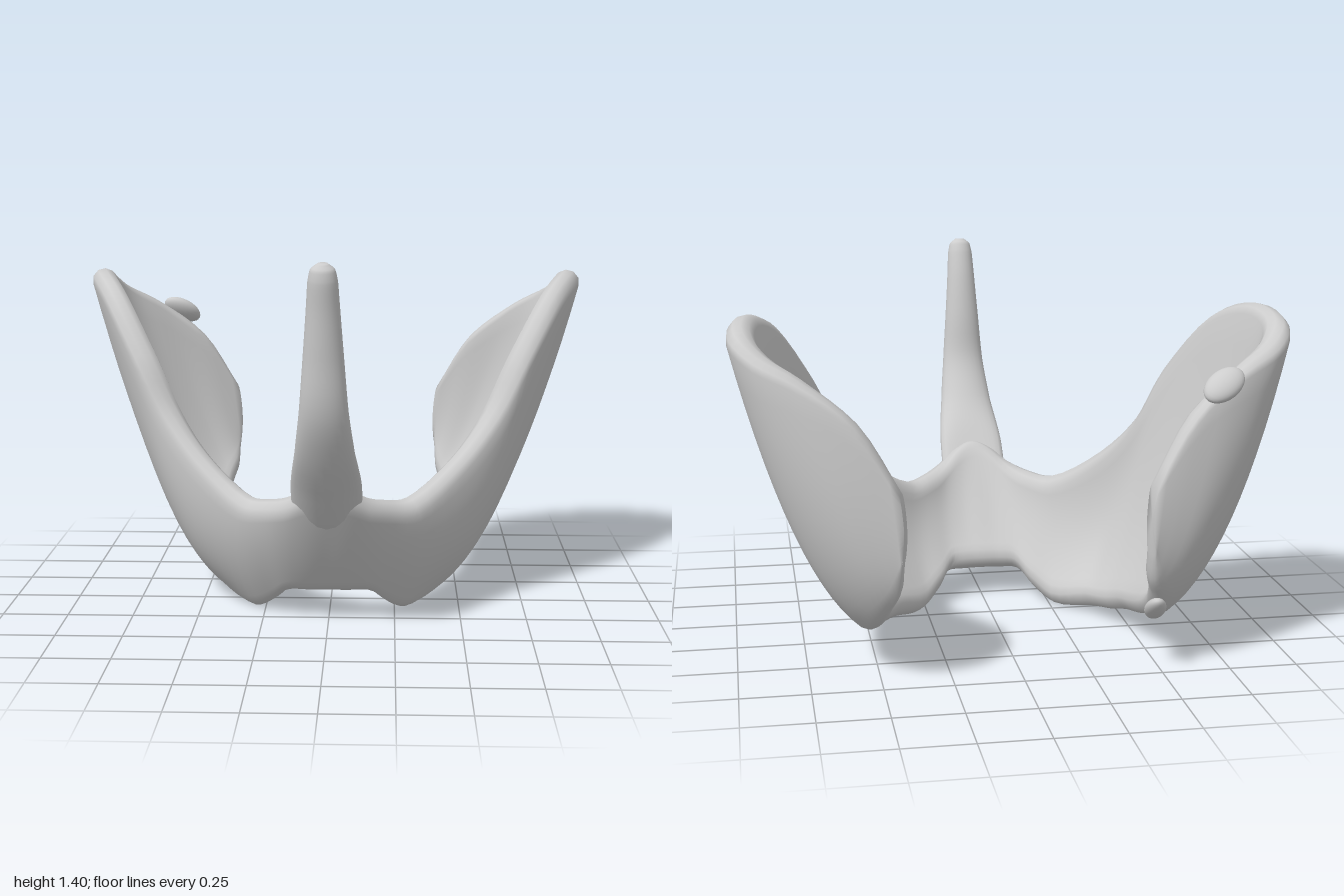
import * as THREE from 'three';

const V = (x, y, z) => new THREE.Vector3(x, y, z);

// Skin a list of closed rings, with a fan at each end
function loft(rings) {
  const n = rings[0].length, last = rings.length - 1;
  const pos = [], idx = [];
  rings.forEach(r => r.forEach(p => pos.push(p.x, p.y, p.z)));
  for (let i = 0; i < last; i++) {
    for (let j = 0; j < n; j++) {
      const k = (j + 1) % n;
      const a = i * n + j, b = a + n, c = (i + 1) * n + k, d = i * n + k;
      idx.push(a, b, c, a, c, d);
    }
  }
  [0, last].forEach(i => {
    const mid = V(0, 0, 0);
    rings[i].forEach(p => mid.addScaledVector(p, 1 / n));
    const m = pos.length / 3;
    pos.push(mid.x, mid.y, mid.z);
    for (let j = 0; j < n; j++) {
      const a = i * n + j, b = i * n + (j + 1) % n;
      if (i === 0) idx.push(m, a, b); else idx.push(m, b, a);
    }
  });
  const g = new THREE.BufferGeometry();
  g.setAttribute('position', new THREE.Float32BufferAttribute(pos, 3));
  g.setIndex(idx);
  g.computeVertexNormals();
  return g;
}

// Curved shell stations from the middle of the front to the back edge:
// bottom, middle and top of the sheet, then half its thickness
const stations = [
  [[0, 0.165, 0.245], [0, 0.335, 0.365], [0, 0.54, 0.49], 0.052],
  [[0.07, 0.164, 0.243], [0.07, 0.33, 0.36], [0.07, 0.515, 0.465], 0.052],
  [[0.14, 0.16, 0.23], [0.14, 0.32, 0.335], [0.14, 0.465, 0.41], 0.052],
  [[0.20, 0.105, 0.165], [0.22, 0.28, 0.27], [0.22, 0.435, 0.335], 0.052],
  [[0.28, 0.052, 0.085], [0.32, 0.24, 0.19], [0.31, 0.43, 0.265], 0.052],
  [[0.40, 0.08, -0.07], [0.48, 0.28, 0.07], [0.485, 0.56, 0.14], 0.05],
  [[0.45, 0.10, -0.17], [0.565, 0.36, -0.01], [0.61, 0.72, 0.05], 0.052],
  [[0.49, 0.13, -0.27], [0.635, 0.45, -0.11], [0.715, 0.93, -0.01], 0.052],
  [[0.51, 0.15, -0.37], [0.70, 0.53, -0.26], [0.85, 1.155, -0.165], 0.05],
  [[0.52, 0.175, -0.47], [0.735, 0.55, -0.44], [0.93, 1.22, -0.36], 0.05],
  [[0.525, 0.215, -0.58], [0.74, 0.55, -0.595], [0.945, 1.19, -0.55], 0.05],
  [[0.505, 0.27, -0.67], [0.69, 0.57, -0.69], [0.88, 1.13, -0.65], 0.047],
  [[0.48, 0.33, -0.73], [0.605, 0.59, -0.76], [0.75, 1.06, -0.72], 0.042],
  [[0.45, 0.40, -0.775], [0.515, 0.60, -0.79], [0.575, 0.92, -0.775], 0.038],
  [[0.43, 0.49, -0.815], [0.425, 0.59, -0.82], [0.435, 0.70, -0.815], 0.026],
];

function shellGeometry() {
  const end = stations.length - 1;
  const rail = k => new THREE.CatmullRomCurve3([
    ...stations.slice(1).reverse().map(s => V(-s[k][0], s[k][1], s[k][2])),
    ...stations.map(s => V(...s[k])),
  ]);
  const [bottom, middle, top] = [0, 1, 2].map(rail);
  const point = (u, v) => V(0, 0, 0)
    .addScaledVector(bottom.getPoint(u), (1 - v) * (1 - 2 * v))
    .addScaledVector(middle.getPoint(u), 4 * v * (1 - v))
    .addScaledVector(top.getPoint(u), v * (2 * v - 1));
  const halfThickness = u => {
    const s = Math.abs(2 * u - 1) * end, i = Math.min(end - 1, Math.floor(s));
    return THREE.MathUtils.lerp(stations[i][3], stations[i + 1][3], s - i);
  };
  const rings = [], steps = 112, across = 14, cap = 5, e = 0.004;
  for (let i = 0; i <= steps; i++) {
    const u = i / steps, h = halfThickness(u), ring = [];
    const travel = middle.getTangent(u);
    const add = (v, angle) => {
      const along = point(u, v + e).sub(point(u, v - e)).normalize();
      const normal = travel.clone().cross(along).normalize();
      ring.push(point(u, v)
        .addScaledVector(normal, h * Math.cos(angle))
        .addScaledVector(along, h * Math.sin(angle)));
    };
    for (let j = 0; j <= across; j++) add(j / across, 0);
    for (let j = 1; j < cap; j++) add(1, Math.PI * j / cap);
    for (let j = 0; j <= across; j++) add(1 - j / across, Math.PI);
    for (let j = 1; j < cap; j++) add(0, Math.PI * (1 + j / cap));
    rings.push(ring);
  }
  return loft(rings);
}

// Front prong, base to tip: y, z, half width, half depth, backward sweep of the sides
const prongRows = [
  [0.30, 0.335, 0.08, 0.02, 0], [0.38, 0.392, 0.11, 0.038, 0.02],
  [0.46, 0.455, 0.13, 0.05, 0.04], [0.58, 0.545, 0.128, 0.056, 0.035],
  [0.73, 0.655, 0.105, 0.057, 0], [0.89, 0.735, 0.085, 0.057, 0],
  [1.08, 0.762, 0.070, 0.057, 0], [1.24, 0.786, 0.058, 0.052, 0],
  [1.34, 0.808, 0.051, 0.046, 0], [1.38, 0.816, 0.042, 0.036, 0],
  [1.40, 0.82, 0.018, 0.016, 0],
];

function prongGeometry() {
  const path = new THREE.CatmullRomCurve3(prongRows.map(r => V(0, r[0], r[1])));
  const size = new THREE.CatmullRomCurve3(prongRows.map(r => V(r[2], r[3], r[4])));
  const rings = [], steps = 50, sides = 24;
  for (let i = 0; i <= steps; i++) {
    const t = i / steps, c = path.getPoint(t), s = size.getPoint(t);
    const depth = V(1, 0, 0).cross(path.getTangent(t)).normalize();
    rings.push(Array.from({ length: sides }, (_, j) => {
      const a = j / sides * Math.PI * 2, side = Math.cos(a);
      return c.clone().addScaledVector(depth, s.y * Math.sin(a))
        .add(V(s.x * side, 0, -s.z * side * side));
    }));
  }
  return loft(rings);
}

// Flattened oval stud: long axis and facing direction
function stud(name, material, centre, long, facing, radii) {
  const x = V(...long).normalize();
  const z = V(...facing);
  z.addScaledVector(x, -z.dot(x)).normalize();
  const y = z.clone().cross(x);
  const mesh = new THREE.Mesh(new THREE.SphereGeometry(1, 24, 16), material);
  mesh.name = name;
  mesh.scale.set(...radii);
  mesh.quaternion.setFromRotationMatrix(new THREE.Matrix4().makeBasis(x, y, z));
  mesh.position.set(...centre);
  return mesh;
}

export function createModel() {
  const model = new THREE.Group();
  model.name = 'curvedGuard';
  const grey = new THREE.MeshStandardMaterial({ color: 0xcccccc });
  grey.name = 'light grey';

  const shell = new THREE.Mesh(shellGeometry(), grey);
  shell.name = 'wrapAroundShell';
  const prong = new THREE.Mesh(prongGeometry(), grey);
  prong.name = 'frontProng';
  model.add(shell, prong);

  // Two studs on the right wing only
  model.add(
    stud('upperStud', grey, [-0.675, 1.055, -0.805], [0.8, -0.5, -0.33], [0.2, 0.6, -0.75], [0.085, 0.055, 0.034]),
    stud('lowerStud', grey, [-0.475, 0.235, -0.72], [0.1, 0.58, -0.8], [0.1, -0.8, -0.58], [0.09, 0.038, 0.028]),
  );
  return model;
}
